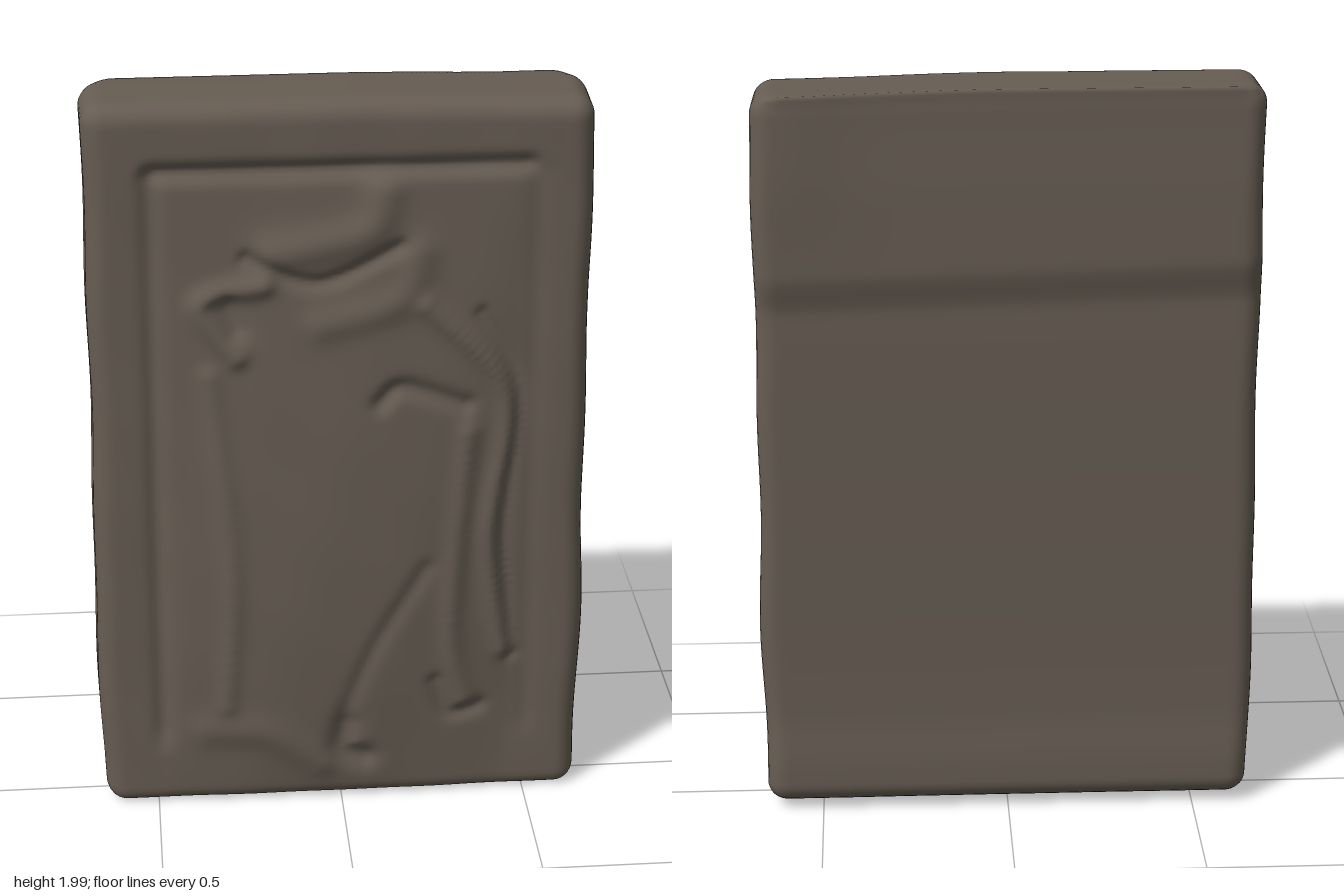
import * as THREE from 'three';
import { mergeVertices } from 'three/addons/utils/BufferGeometryUtils.js';

const { lerp, smoothstep } = THREE.MathUtils;
const bump = (v, centre, width) => Math.exp(-(((v - centre) / width) ** 2));

// A raised (or, with negative height, cut) stroke along a smooth path
function stroke(height, radius, ...points) {
  const curve = new THREE.SplineCurve(points.map(([x, y]) => new THREE.Vector2(x, y)));
  return { height, radius, path: curve.getPoints(50) };
}

function strokeHeight({ height, radius, path }, x, y) {
  let nearest = Infinity;
  for (const p of path) nearest = Math.min(nearest, (x - p.x) ** 2 + (y - p.y) ** 2);
  return height * Math.exp(-nearest / (radius * radius));
}

// Relief figure
function createStrokes() {
  const head = stroke(0.02, 0.05, [-0.17, 1.61], [0.06, 1.66], [0.11, 1.76]);
  const chin = stroke(-0.016, 0.02, [-0.24, 1.6], [-0.06, 1.53], [0.15, 1.62]);
  const shoulder = stroke(0.014, 0.045, [0.2, 1.6], [0.15, 1.48], [-0.05, 1.42]);
  const curledHand = stroke(0.02, 0.03, [-0.2, 1.53], [-0.36, 1.48], [-0.27, 1.34]);
  const handHollow = stroke(-0.016, 0.03, [-0.29, 1.48], [-0.27, 1.41]);
  const bowedArm = stroke(0.018, 0.03, [0.22, 1.46], [0.43, 1.2], [0.39, 0.8], [0.44, 0.46]);
  const armShadow = stroke(-0.012, 0.018, [0.36, 1.43], [0.46, 1.2], [0.425, 0.8], [0.46, 0.43]);
  const elbowFold = stroke(-0.018, 0.025, [0.1, 1.2], [0.16, 1.24], [0.32, 1.18]);
  const staff = stroke(0.014, 0.03, [0.33, 1.1], [0.29, 0.55], [0.33, 0.32]);
  const staffFoot = stroke(-0.013, 0.022, [0.25, 0.37], [0.29, 0.27], [0.37, 0.28]);
  const robeEdge = stroke(0.012, 0.03, [-0.34, 1.28], [-0.29, 0.75], [-0.31, 0.32]);
  const robeFold = stroke(-0.009, 0.025, [0.22, 0.72], [0.09, 0.5], [0.01, 0.3]);
  const foot = stroke(0.012, 0.05, [-0.36, 0.24], [-0.2, 0.23], [-0.06, 0.13]);
  const footGap = stroke(-0.022, 0.035, [0.01, 0.25], [0, 0.17], [0.06, 0.14]);
  return [head, chin, shoulder, curledHand, handHollow, bowedArm, armShadow, elbowFold,
    staff, staffFoot, robeEdge, robeFold, foot, footGap];
}

function frontDepth(strokes, x, y) {
  // domed panel inside a flat rim
  const across = Math.max(0, 1 - ((x + 0.02) / 0.47) ** 2);
  const upward = y > 0 && y < 1.8 ? Math.sin(Math.PI * (y / 1.8) ** 0.8) : 0;
  let z = 0.1 - 0.01 * y + 0.06 * across * upward;

  // sunken lines along the frame
  const inWidth = 1 - smoothstep(Math.abs(x), 0.46, 0.52);
  const inHeight = smoothstep(y, 0.15, 0.25) * (1 - smoothstep(y, 1.79, 1.85));
  z -= 0.022 * bump(y, 1.825, 0.022) * inWidth;
  z -= (0.013 * bump(x, -0.48, 0.025) + 0.007 * bump(x, 0.5, 0.03)) * inHeight;

  for (const s of strokes) z += strokeHeight(s, x, y);
  return z + 0.0015 * Math.sin(19 * x + 7 * y) * Math.sin(13 * y - 5 * x);
}

function backDepth(x, y) {
  // thicker band across the top, slight flare at the foot and one upper corner
  const step = y + 0.025 * x;
  return -0.128 - 0.014 * smoothstep(y, 0.4, 1.35) - 0.023 * smoothstep(step, 1.42, 1.54)
    + 0.007 * smoothstep(y, 1.7, 1.95) - 0.012 * (1 - smoothstep(y, 0.12, 0.3))
    - 0.012 * bump(x, 0.55, 0.12) * smoothstep(y, 1.5, 1.9);
}

function createTabletGeometry() {
  const half = new THREE.Vector3(0.645, 1, 0.12), radius = 0.055;
  let geometry = new THREE.BoxGeometry(1.29, 2, 0.24, 110, 170, 14);
  geometry.deleteAttribute('normal');
  geometry.deleteAttribute('uv');
  geometry = mergeVertices(geometry);
  const pos = geometry.attributes.position;
  const high = half.clone().subScalar(radius), low = high.clone().negate();
  const p = new THREE.Vector3(), inner = new THREE.Vector3(), round = new THREE.Vector3();
  const strokes = createStrokes();

  for (let i = 0; i < pos.count; i++) {
    // worn, rounded edges, with the top back edge left sharp
    p.fromBufferAttribute(pos, i);
    inner.copy(p).clamp(low, high);
    round.copy(p).sub(inner).setLength(radius).add(inner);
    const sharp = smoothstep(p.y, 0.93, 0.99) * smoothstep(-p.z, 0, 0.11);
    round.lerp(p, 0.9 * sharp * smoothstep(half.x - Math.abs(p.x), 0, 0.09));

    // uneven outline and sloping underside
    const t = (round.z + half.z) / (2 * half.z);
    let y = round.y + 1;
    y += 0.035 * (1 - t) * (1 - smoothstep(y, 0, 0.3));
    y -= 0.012 * smoothstep(y, 1.7, 2) * smoothstep(round.x, 0, 0.6);
    const widen = 1 + 0.014 * bump(y, 0.52, 0.3) + 0.012 * (0.5 - t) + 0.004 * Math.sin(11 * y + 3 * round.x);
    const x = round.x * widen;

    pos.setXYZ(i, x, y, lerp(backDepth(x, y), frontDepth(strokes, x, y), t));
  }
  geometry.computeVertexNormals();
  return geometry;
}

export function createModel() {
  const group = new THREE.Group();
  group.name = 'reliefTablet';
  const clay = new THREE.MeshStandardMaterial({ color: 0x665c52 });
  clay.name = 'dark clay';
  const tablet = new THREE.Mesh(createTabletGeometry(), clay);
  tablet.name = 'carvedTablet';
  group.add(tablet);
  return group;
}
